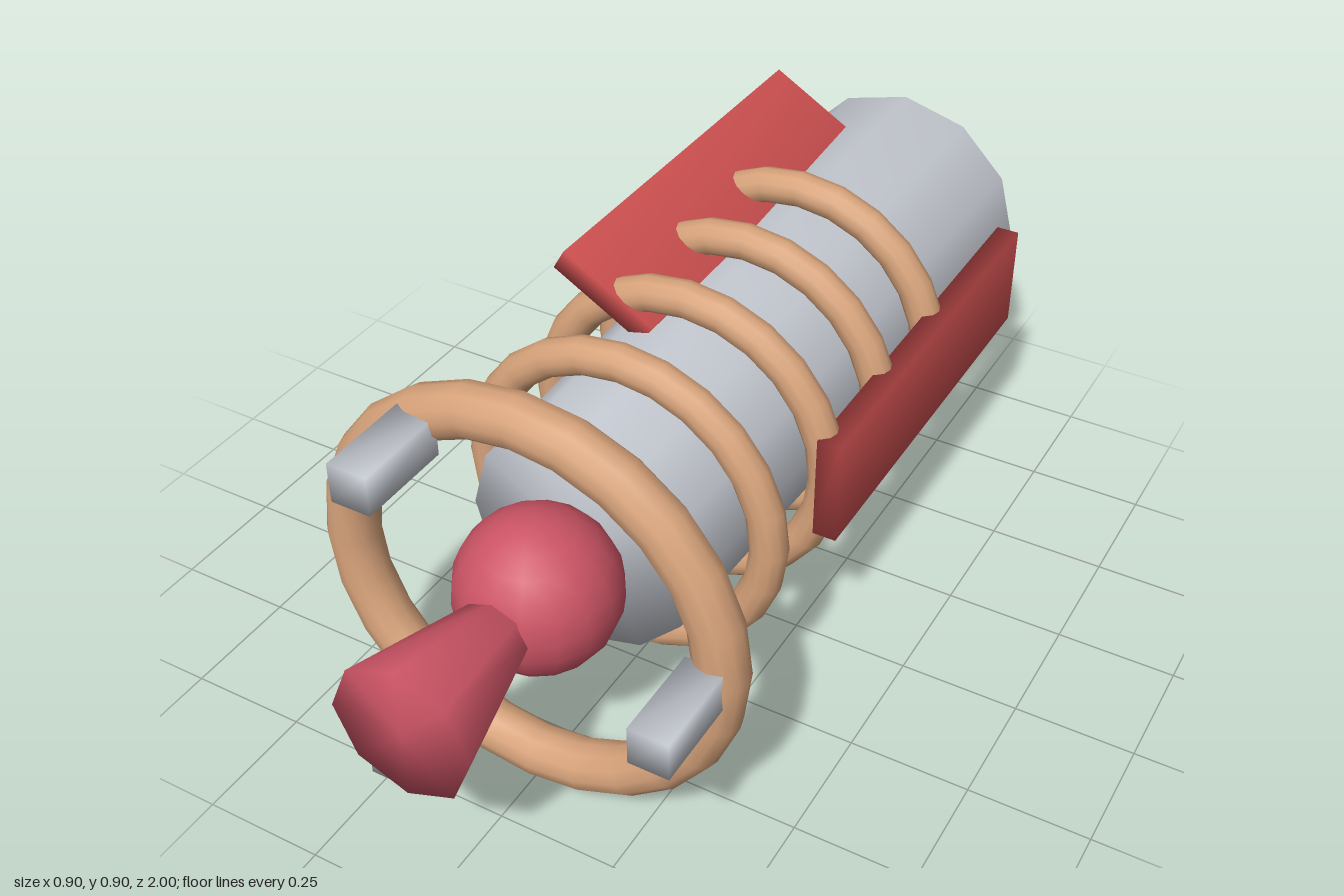
import * as THREE from 'three';
import { mergeVertices } from 'three/addons/utils/BufferGeometryUtils.js';

const AXIS_Y = 0.455;

function material(name, color) {
  const m = new THREE.MeshStandardMaterial({ color });
  m.name = name;
  return m;
}

// Welds all corners so that shading runs smoothly over every edge
function smooth(geometry) {
  geometry.deleteAttribute('uv');
  geometry.deleteAttribute('normal');
  const welded = mergeVertices(geometry, 1e-4);
  welded.computeVertexNormals();
  return welded;
}

// Tapered closed cylinder along z
function taper(rFront, rBack, zFront, zBack, sides) {
  const g = new THREE.CylinderGeometry(rFront, rBack, zFront - zBack, sides);
  g.rotateX(Math.PI / 2);
  g.translate(0, 0, (zFront + zBack) / 2);
  return smooth(g);
}

export function createModel() {
  const grey = material('light grey metal', 0xc6cad2);
  const copper = material('copper', 0xd6a27a);
  const rose = material('rose red', 0xcc5465);
  const red = material('panel red', 0xcc4f4f);

  const model = new THREE.Group();
  model.name = 'spacecraft';
  const add = (name, geometry, mat, x = 0, y = 0, z = 0) => {
    const mesh = new THREE.Mesh(geometry, mat);
    mesh.name = name;
    mesh.position.set(x, AXIS_Y + y, z);
    model.add(mesh);
    return mesh;
  };

  // Hull, widening to the back
  add('hull', taper(0.245, 0.294, 0.43, -1, 12), grey);

  // Nose ball and flared horn
  add('noseBall', smooth(new THREE.SphereGeometry(0.162, 16, 12)), rose, 0, 0, 0.58);
  add('horn', taper(0.143, 0.066, 1, 0.7, 8), rose);

  // Large front ring and four coils around the hull
  add('frontRing', new THREE.TorusGeometry(0.4, 0.052, 12, 24), copper, 0, 0, 0.608);
  const coil = new THREE.TorusGeometry(0.317, 0.038, 12, 24);
  for (let i = 0; i < 4; i++) add('coil' + (i + 1), coil, copper, 0, 0, 0.276 - i * 0.245);

  // Three thrusters on the ring and three long panels, a third of a turn apart
  const thruster = smooth(new THREE.BoxGeometry(0.081, 0.081, 0.195));
  const panel = smooth(new THREE.BoxGeometry(0.05, 0.23, 0.915));
  for (let i = 0; i < 3; i++) {
    const a = (i * Math.PI * 2) / 3;
    const c = Math.cos(a), s = Math.sin(a);
    add('thruster' + (i + 1), thruster, grey, 0.383 * c, 0.383 * s, 0.737);
    add('panel' + (i + 1), panel, red, 0.335 * c, 0.335 * s, -0.386).rotation.z = -a;
  }
  return model;
}
